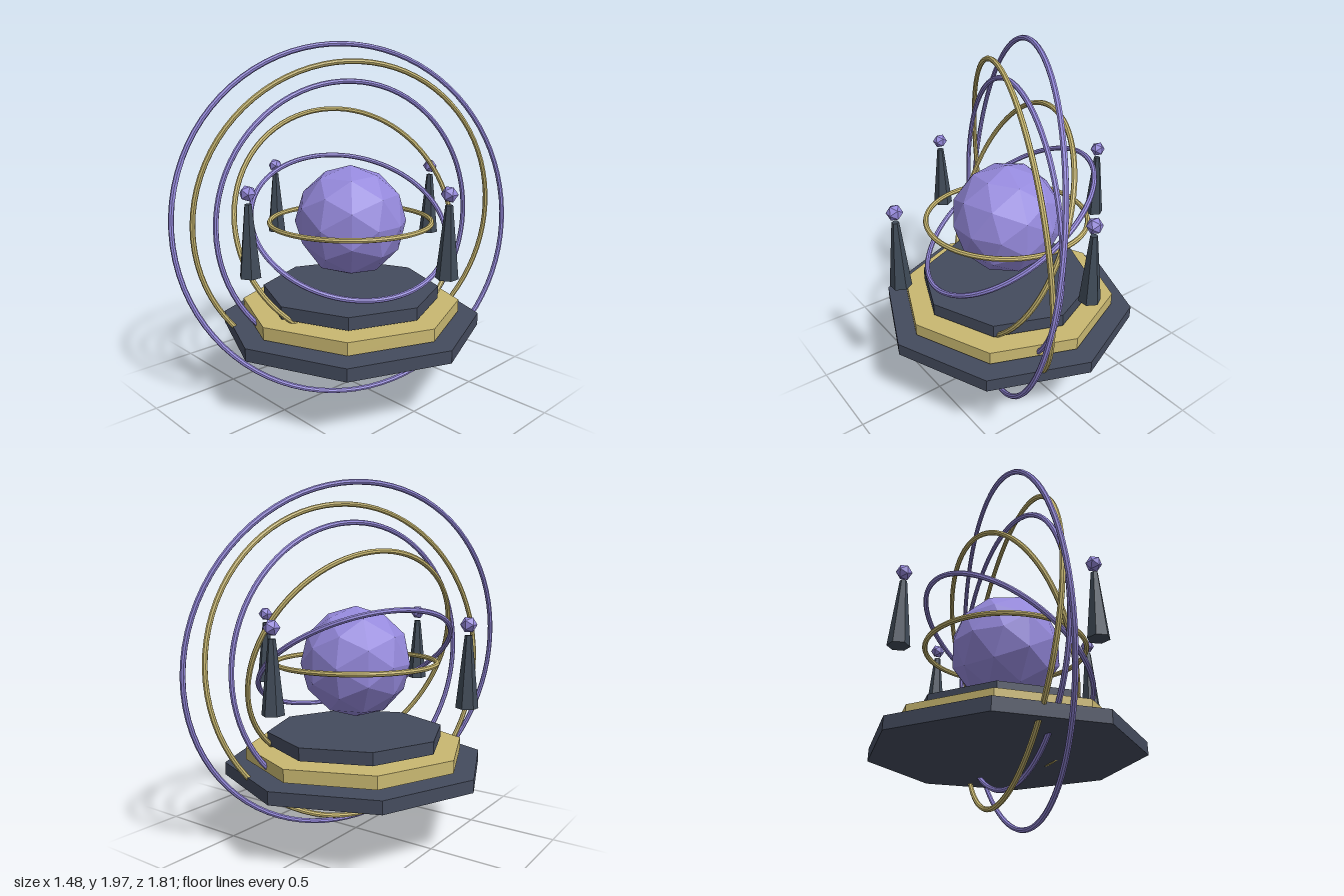
import * as THREE from 'three';

const mat = (name, color) => {
  const m = new THREE.MeshStandardMaterial({ color, flatShading: true });
  m.name = name;
  return m;
};

export function createModel() {
  const model = new THREE.Group();
  model.name = 'ringedOrbShrine';
  const slate = mat('slate', 0x444b5d);
  const stone = mat('stone', 0x404b58);
  const gold = mat('gold', 0xc9b871);
  const violet = mat('violet', 0x9589dc);

  const add = (name, geometry, material, x, y, z, parent = model) => {
    const mesh = new THREE.Mesh(geometry, material);
    mesh.name = name;
    mesh.position.set(x, y, z);
    parent.add(mesh);
    return mesh;
  };

  // Three floating octagonal steps with narrow gaps between them
  [['lowerStep', 0.74, 0.415, slate], ['middleStep', 0.625, 0.497, gold], ['upperStep', 0.505, 0.579, slate]]
    .forEach(([name, r, y, m]) => add(name, new THREE.CylinderGeometry(r, r, 0.07, 8), m, 0, y, 0));

  // Faceted core
  add('core', new THREE.IcosahedronGeometry(0.315, 1), violet, 0, 1, 0).rotation.y = 0.28;

  // Concentric rings, each turned to face its own axis
  const axes = [
    [0, 1, 0], [0.51, 0.825, 0.24], [0.87, 0.396, 0.293],
    [0.952, 0.04, 0.305], [0.916, -0.06, 0.396], [0.9, 0.14, 0.416],
  ];
  const forward = new THREE.Vector3(0, 0, 1);
  axes.forEach((axis, i) => {
    const geometry = new THREE.TorusGeometry(0.455 + i * 0.105, 0.0145, 8, 80);
    const ring = add('ring' + (i + 1), geometry, i % 2 ? violet : gold, 0, 1, 0);
    ring.quaternion.setFromUnitVectors(forward, new THREE.Vector3(...axis).normalize());
  });

  // Four floating tapered pillars, each topped by a small gem
  const pillarShape = new THREE.CylinderGeometry(0.019, 0.058, 0.37, 6);
  const gemShape = new THREE.IcosahedronGeometry(0.043, 0);
  [['front', 0, 0.69], ['back', 0, -0.69], ['left', 0.69, 0], ['right', -0.69, 0]].forEach(([side, x, z]) => {
    const post = new THREE.Group();
    post.name = side + 'Post';
    post.position.set(x, 0, z);
    add(side + 'Pillar', pillarShape, stone, 0, 1.005, 0, post);
    add(side + 'Gem', gemShape, violet, 0, 1.243, 0, post);
    model.add(post);
  });

  return model;
}
